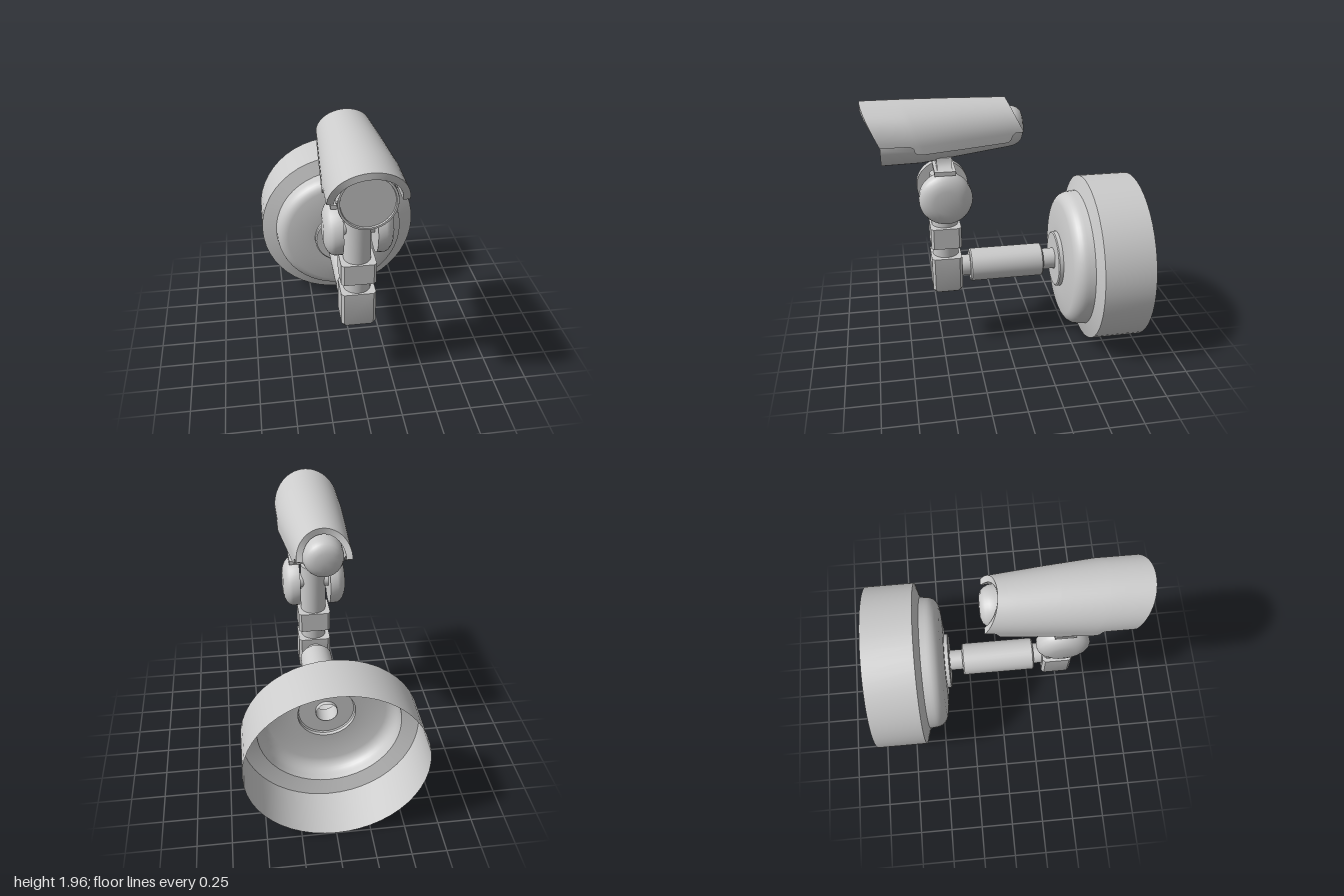
import * as THREE from 'three';
import { toCreasedNormals } from 'three/addons/utils/BufferGeometryUtils.js';

const grey = new THREE.MeshStandardMaterial({ color: 0xcccccc });
const greyOpen = new THREE.MeshStandardMaterial({ color: 0xcccccc, side: THREE.DoubleSide });

export function createModel() {
  const model = new THREE.Group();

  const add = (name, geometry, material = grey) => {
    const mesh = new THREE.Mesh(toCreasedNormals(geometry, 0.55), material);
    mesh.name = name;
    model.add(mesh);
    return mesh;
  };

  // Surface through closed rings of [x, y, z] points
  const loft = (rings) => {
    const n = rings[0].length, index = [];
    for (let i = 0; i < rings.length - 1; i++) {
      for (let j = 0; j < n; j++) {
        const a = i * n + j, c = i * n + (j + 1) % n;
        index.push(a, a + n, c, a + n, c + n, c);
      }
    }
    const g = new THREE.BufferGeometry();
    g.setAttribute('position', new THREE.Float32BufferAttribute(rings.flat(2), 3));
    g.setIndex(index);
    g.computeVertexNormals();
    return g;
  };

  const lathe = (points, segments = 40) =>
    new THREE.LatheGeometry(points.map(([r, h]) => new THREE.Vector2(r, h)), segments);

  // Hollow wall mount, open at the back
  const dome = [];
  for (let i = 0; i <= 7; i++) {
    const a = (i / 7) * 1.4;
    dome.push([0.42 + 0.1 * Math.cos(a), -0.54 + 0.1 * Math.sin(a)]);
  }
  add('wallMount', lathe([
    [0.64, -1], [0.64, -0.62], [0.525, -0.585], ...dome,
    [0.28, -0.423], [0.215, -0.423], [0.215, -0.395], [0.205, -0.388], [0.14, -0.388], [0.08, -0.388],
  ], 48).rotateX(Math.PI / 2).translate(0, 0.64, 0), greyOpen);

  // Horizontal arm with a thicker sleeve
  add('arm', lathe([
    [0.08, -0.42], [0.08, -0.29], [0.115, -0.29], [0.125, -0.28],
    [0.125, 0.26], [0.115, 0.27], [0.08, 0.27], [0.08, 0.36],
  ], 32).rotateX(Math.PI / 2).translate(0, 0.645, 0), greyOpen);

  // Upright post
  add('post', new THREE.CylinderGeometry(0.097, 0.097, 0.8, 32).translate(0, 1.01, 0.4475));

  // Chamfered blocks; levels run downward as [y, inset]
  const block = (name, levels) => {
    const ring = (y, inset) => {
      const w = 0.125 - inset, d = 0.1125 - inset, c = 0.02;
      return [[w, c - d], [w, d - c], [w - c, d], [c - w, d], [-w, d - c], [-w, c - d], [c - w, -d], [w - c, -d]]
        .map(([x, z]) => [x, y, 0.4475 - z]);
    };
    const cap = (y) => Array.from({ length: 8 }, () => [0, y, 0.4475]);
    add(name, loft([
      cap(levels[0][0]),
      ...levels.map(([y, inset]) => ring(y, inset)),
      cap(levels[levels.length - 1][0]),
    ]));
  };
  block('collarBlock', [[1.015, 0], [0.855, 0]]);
  block('elbowBlock', [[0.77, 0], [0.515, 0], [0.49, 0.014], [0.475, 0.035]]);

  // Domed tilt discs on both sides of the post
  for (const side of [1, -1]) {
    const disc = add(side > 0 ? 'leftTiltDisc' : 'rightTiltDisc', lathe([
      [0, 0.115], [0.19, 0.115], [0.19, 0.172], [0.18, 0.195],
      [0.155, 0.217], [0.12, 0.233], [0.085, 0.24], [0, 0.24],
    ]).rotateZ(-Math.PI / 2));
    disc.position.set(0, 1.27, 0.445);
    if (side < 0) disc.rotation.y = Math.PI;
  }
  add('tiltPin', new THREE.CylinderGeometry(0.055, 0.055, 0.24, 24)
    .rotateZ(Math.PI / 2).translate(0, 1.27, 0.445));

  // Bracket plate and the flared saddle under the housing
  add('bracketPlate', new THREE.BoxGeometry(0.38, 0.03, 0.15).translate(0, 1.47, 0.445));
  const saddle = new THREE.Shape();
  saddle.moveTo(-0.18, 1.48);
  saddle.lineTo(0.18, 1.48);
  saddle.quadraticCurveTo(0.12, 1.495, 0.11, 1.56);
  saddle.lineTo(-0.11, 1.56);
  saddle.quadraticCurveTo(-0.12, 1.495, -0.18, 1.48);
  add('saddle', new THREE.ExtrudeGeometry(saddle, { depth: 0.105, bevelEnabled: false, curveSegments: 8 })
    .translate(0, 0, 0.3925));

  // Housing drifts slightly sideways towards the back
  const drift = (z) => -0.02 * THREE.MathUtils.clamp((0.6 - z) / 0.7, 0, 1);

  // Tapered camera housing: [z, centre y, radius]
  const sections = [
    [0.868, 1.69, 0], [0.868, 1.69, 0.172], [0.88, 1.69, 0.175], [0.88, 1.69, 0.188],
    [0.872, 1.69, 0.191], [0.6, 1.696, 0.191], [-0.03, 1.73, 0.146], [-0.065, 1.732, 0.141],
    [-0.095, 1.733, 0.128], [-0.117, 1.734, 0.106], [-0.13, 1.735, 0.07], [-0.134, 1.735, 0],
  ];
  add('cameraHousing', loft(sections.map(([z, cy, r]) =>
    Array.from({ length: 40 }, (_, j) => {
      const a = (j / 40) * Math.PI * 2;
      return [drift(z) + r * Math.cos(a), cy + r * Math.sin(a), z];
    }))));

  // Sun hood: arched shell with slanted ends and stepped side flaps
  const hoodRing = (u, drop, thickness) => {
    const point = (a, inset, down) => {
      const s = Math.sin(a);
      const z = THREE.MathUtils.lerp(0.88 + 0.12 * s, -0.11 + 0.1 * s, u);
      const t = THREE.MathUtils.clamp((0.6 - z) / 0.7, 0, 1);
      const r = 0.255 - 0.059 * t - inset;
      return [drift(z) + r * Math.cos(a), 1.7 + 0.04 * t + r * s - down, z];
    };
    const n = 28, outer = [], inner = [];
    for (let i = 0; i <= n; i++) {
      const a = (i / n) * Math.PI;
      outer.push(point(a, 0, 0));
      inner.push(point(a, thickness, 0));
    }
    return [
      point(0, 0, drop), ...outer, point(Math.PI, 0, drop),
      point(Math.PI, thickness, drop), ...inner.reverse(), point(0, thickness, drop),
    ];
  };
  const wall = 0.045;
  add('sunHood', loft([
    [0, 0, 0], [0, 0, wall], [0.2, 0, wall], [0.225, 0.012, wall], [0.235, 0.045, wall],
    [0.255, 0.058, wall], [0.29, 0.06, wall], [0.6, 0.062, wall], [0.885, 0.062, wall],
    [0.905, 0.05, wall], [0.92, 0.015, wall], [0.94, 0, wall], [1, 0, wall], [1, 0, 0],
  ].map((s) => hoodRing(...s))));

  return model;
}
